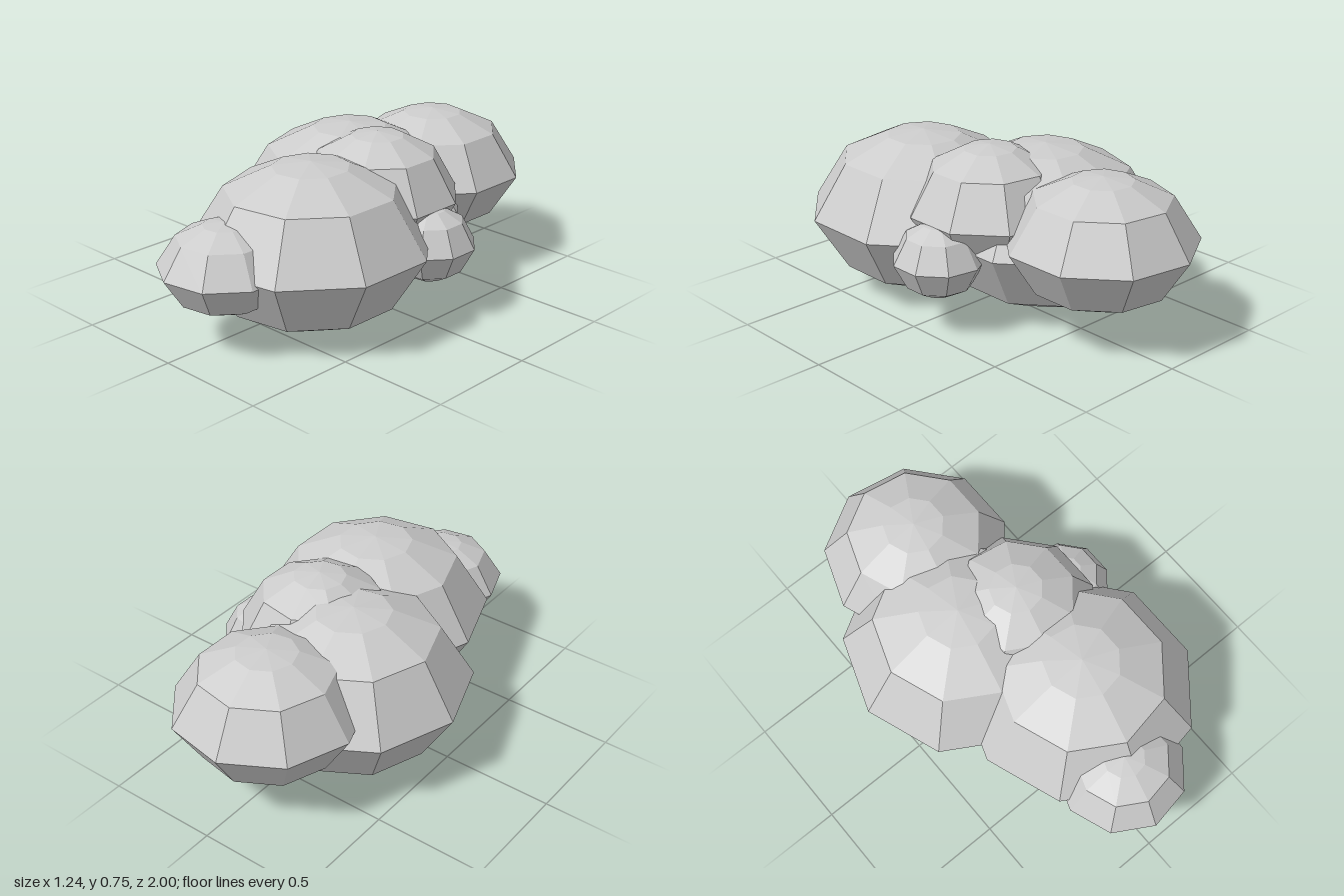
import * as THREE from 'three';

// Half profile of a faceted unit boulder: [radius, height] from bottom to top
const PROFILE = [
  [0, -1], [0.32, -0.94], [0.71, -0.675], [1, 0],
  [0.71, 0.675], [0.32, 0.94], [0, 1],
].map(([r, y]) => new THREE.Vector2(r, y));

// name, centre, half sizes
const LOBES = [
  ['rearRightLobe', [-0.115, 0.365, -0.165], [0.51, 0.36, 0.52]],
  ['frontLobe', [0.14, 0.37, 0.33], [0.51, 0.355, 0.52]],
  ['topLobe', [0.13, 0.48, -0.08], [0.36, 0.275, 0.355]],
  ['backLobe', [-0.008, 0.435, -0.595], [0.412, 0.28, 0.411]],
  ['smallFrontLobe', [0.045, 0.355, 0.72], [0.283, 0.19, 0.284]],
  ['smallLeftLobe', [0.427, 0.325, -0.087], [0.2, 0.162, 0.2]],
];

export function createModel() {
  const group = new THREE.Group();
  group.name = 'lobedCluster';
  const material = new THREE.MeshStandardMaterial({ color: 0xcccccc, flatShading: true });

  // Nine-sided lobe with one corner pointing to -x
  const geometry = new THREE.LatheGeometry(PROFILE, 9, -Math.PI / 2);

  for (const [name, centre, size] of LOBES) {
    const lobe = new THREE.Mesh(geometry, material);
    lobe.name = name;
    lobe.position.set(...centre);
    lobe.scale.set(...size);
    group.add(lobe);
  }
  return group;
}
